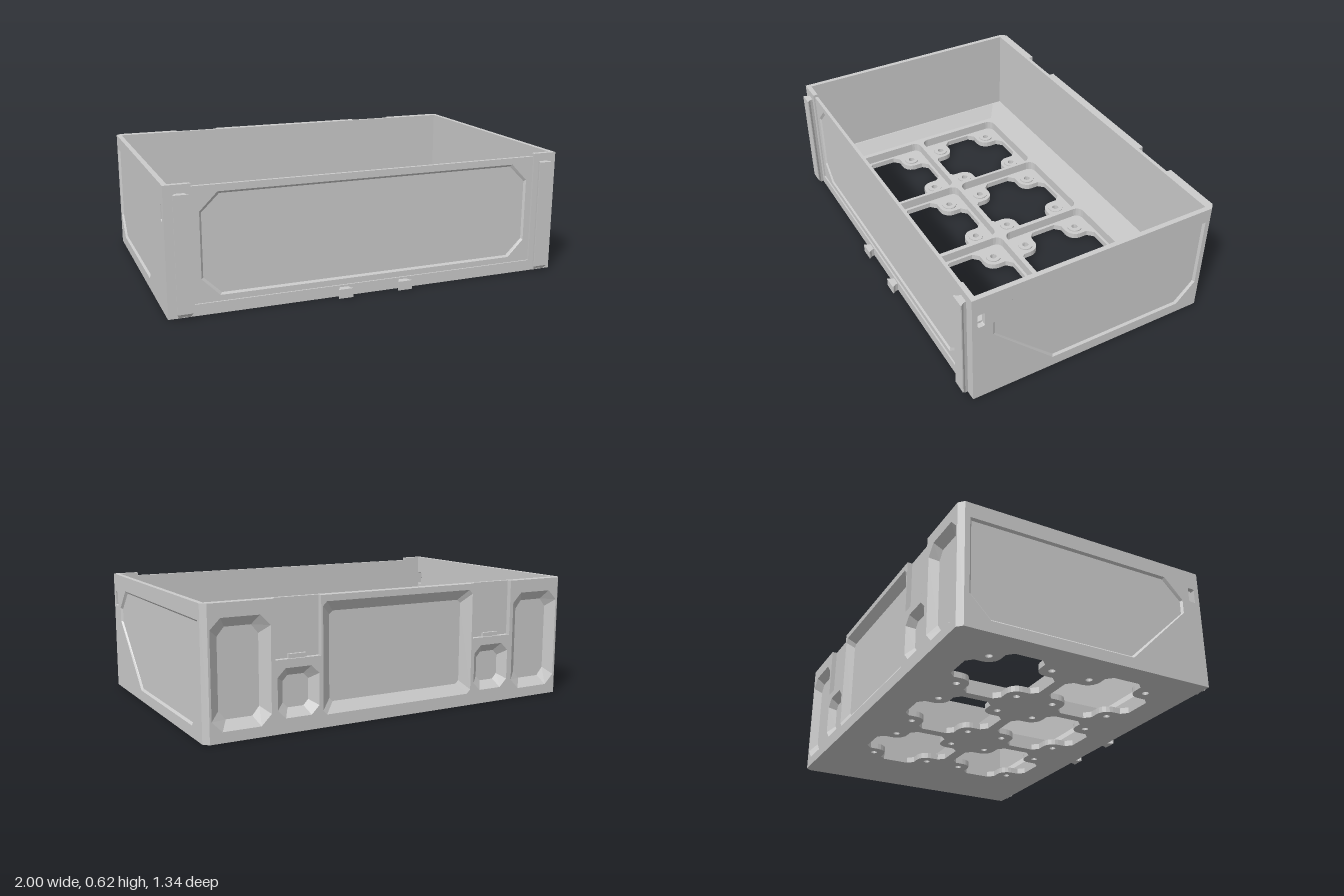
import * as THREE from 'three';
import { mergeGeometries } from 'three/addons/utils/BufferGeometryUtils.js';

const material = new THREE.MeshStandardMaterial({ color: 0xcccccc, flatShading: true, side: THREE.DoubleSide });
const H = 0.615;

const toPoints = (list) => {
  const p = list.map(([x, y]) => new THREE.Vector2(x, y));
  return THREE.ShapeUtils.isClockWise(p) ? p.reverse() : p;
};
const rect = (x0, y0, x1, y1) => [[x0, y0], [x1, y0], [x1, y1], [x0, y1]];
// Rectangle with cut corners
const cutRect = (x0, y0, x1, y1, c) => [
  [x0 + c, y0], [x1 - c, y0], [x1, y0 + c], [x1, y1 - c],
  [x1 - c, y1], [x0 + c, y1], [x0, y1 - c], [x0, y0 + c]];

function shapeOf(outline, holes = []) {
  const s = new THREE.Shape(toPoints(outline));
  s.holes = holes.map((h) => new THREE.Path(toPoints(h).reverse()));
  return s;
}

// Closed band of quads between two rings of [x, y, z] points
function band(a, b) {
  const pos = [];
  a.forEach((p, i) => {
    const j = (i + 1) % a.length;
    pos.push(...p, ...a[j], ...b[j], ...p, ...b[j], ...b[i]);
  });
  const g = new THREE.BufferGeometry();
  g.setAttribute('position', new THREE.Float32BufferAttribute(pos, 3));
  g.computeVertexNormals();
  return g;
}
const atZ = (points, z) => points.map((p) => [p.x, p.y, z]);

// Shrinks a polygon about the middle of its bounds
function inset(points, b) {
  const box = new THREE.Box2().setFromPoints(points);
  const c = box.getCenter(new THREE.Vector2()), s = box.getSize(new THREE.Vector2());
  return points.map((p) => new THREE.Vector2(
    c.x + (p.x - c.x) * (1 - 2 * b / s.x), c.y + (p.y - c.y) * (1 - 2 * b / s.y)));
}

// Solid wall facing +z, with bevelled pockets in its face and slots right through
function wall(outline, t, pockets, slots = []) {
  const edge = toPoints(outline);
  const back = new THREE.ShapeGeometry(shapeOf(outline, slots)).rotateY(Math.PI).scale(-1, 1, 1).translate(0, 0, -t);
  const parts = [
    new THREE.ShapeGeometry(shapeOf(outline, [...pockets.map((p) => p.poly), ...slots])),
    back, band(atZ(edge, -t), atZ(edge, 0))];
  for (const s of slots) parts.push(band(atZ(toPoints(s), 0), atZ(toPoints(s), -t)));
  for (const { poly, bevel, depth } of pockets) {
    const outer = toPoints(poly), inner = inset(outer, bevel);
    parts.push(band(atZ(outer, 0), atZ(inner, -depth)));
    parts.push(new THREE.ShapeGeometry(new THREE.Shape(inner)).translate(0, 0, -depth));
  }
  return mergeGeometries(parts.map((g) => {
    const n = g.index ? g.toNonIndexed() : g;
    n.deleteAttribute('uv');
    return n;
  }));
}

// Horizontal slab from an outline in x and z
function slab(shape, y0, y1) {
  return new THREE.ExtrudeGeometry(shape, { depth: y1 - y0, bevelEnabled: false, curveSegments: 6 })
    .rotateX(Math.PI / 2).translate(0, y1, 0);
}

function roundRect(x0, z0, x1, z1, r) {
  const out = [];
  [[x1 - r, z0 + r, -1], [x1 - r, z1 - r, 0], [x0 + r, z1 - r, 1], [x0 + r, z0 + r, 2]].forEach(([cx, cz, q]) => {
    for (let i = 0; i <= 4; i++) {
      const a = (q + i / 4) * Math.PI / 2;
      out.push([cx + r * Math.cos(a), cz + r * Math.sin(a)]);
    }
  });
  return out;
}

// Cross-shaped opening that leaves a rounded screw tab in each corner
function crossHole(cx, cz) {
  const h = 0.232, quarter = [[h, 0.07], [h - 0.03, 0.1]];
  for (let i = 0; i <= 5; i++) {
    const a = -Math.PI / 2 * (1 + i / 5);
    quarter.push([0.16 + 0.06 * Math.cos(a), 0.16 + 0.06 * Math.sin(a)]);
  }
  quarter.push([0.1, h - 0.03], [0.07, h]);
  const out = [];
  for (let k = 0; k < 4; k++) {
    const c = [1, 0, -1, 0][k], s = [0, 1, 0, -1][k];
    quarter.forEach(([x, z]) => out.push([cx + c * x - s * z, cz + s * x + c * z]));
  }
  return out;
}
const circle = (cx, cz, r) => Array.from({ length: 14 }, (_, i) =>
  [cx + r * Math.cos(i * Math.PI / 7), cz + r * Math.sin(i * Math.PI / 7)]);

export function createModel() {
  const model = new THREE.Group();
  const add = (name, geometry, x = 0, y = 0, z = 0, ry = 0) => {
    const m = new THREE.Mesh(geometry, material);
    m.name = name;
    m.position.set(x, y, z);
    m.rotation.y = ry;
    model.add(m);
    return m;
  };

  // Side walls with a cut-corner pocket and a small slot
  for (const s of [1, -1]) {
    const flip = (list) => list.map(([z, y]) => [-s * z, y]);
    const poly = flip([[0.53, 0.44], [0.43, 0.54], [-0.62, 0.54], [-0.62, 0.16], [-0.52, 0.055], [0.21, 0.055], [0.53, 0.37]]);
    add(s > 0 ? 'leftWall' : 'rightWall',
      wall(flip(rect(-0.645, 0, 0.61, H)), 0.025, [{ poly, bevel: 0.01, depth: 0.01 }],
        [flip(cutRect(0.572, 0.445, 0.608, 0.52, 0.005))]), s, 0, 0, s * Math.PI / 2);
    add('backCornerChamfer', slab(shapeOf([[s * 0.975, -0.67], [s, -0.645], [s * 0.975, -0.645]]), 0, H));
  }

  // Back wall with bevelled recesses and two latch notches
  const recesses = [{ poly: cutRect(-0.42, 0.06, 0.42, 0.585, 0.02), bevel: 0.05, depth: 0.035 }];
  for (const s of [1, -1]) {
    const a = s > 0 ? [0.68, 0.965] : [-0.965, -0.68];
    const b = s > 0 ? [0.44, 0.65] : [-0.65, -0.44];
    recesses.push({ poly: cutRect(a[0], 0.05, a[1], 0.55, 0.05), bevel: 0.045, depth: 0.035 });
    recesses.push({ poly: cutRect(b[0], 0.07, b[1], 0.3, 0.04), bevel: 0.04, depth: 0.035 });
  }
  const backOutline = [[-0.975, 0], [0.975, 0], [0.975, H], [0.66, H], [0.66, 0.34], [0.43, 0.34], [0.43, H],
    [-0.43, H], [-0.43, 0.34], [-0.66, 0.34], [-0.66, H], [-0.975, H]];
  add('backWall', wall(backOutline, 0.045, recesses), 0, 0, -0.67, Math.PI);
  for (const s of [1, -1]) {
    add('latchPlate', new THREE.BoxGeometry(0.23, 0.275, 0.02), s * 0.545, 0.4775, -0.635);
    add('latchCatch', new THREE.BoxGeometry(0.09, 0.02, 0.015), s * 0.545, 0.35, -0.652);
  }

  // Front frame, open at the top, and its panel
  const frame = [[-1, 0], [1, 0], [1, H], [0.875, H], [0.875, 0.055], [-0.875, 0.055], [-0.875, H], [-1, H]];
  add('frontFrame', wall(frame, 0.025, []), 0, 0, 0.635);
  add('frontPanel', wall(rect(-0.875, 0.055, 0.875, 0.6), 0.017,
    [{ poly: cutRect(-0.84, 0.083, 0.84, 0.567, 0.085), bevel: 0.01, depth: 0.008 }]), 0, 0, 0.627);

  // Dovetail rails and feet on the front
  const dovetail = shapeOf([[-0.022, 0.63], [0.022, 0.63], [0.026, 0.65], [0.036, 0.663], [0.036, 0.668],
    [-0.036, 0.668], [-0.036, 0.663], [-0.026, 0.65]]);
  for (const s of [1, -1]) {
    const rail = slab(dovetail, 0.005, 0.575), p = rail.attributes.position;
    for (let i = 0; i < p.count; i++) if (p.getY(i) < 0.1 && p.getZ(i) > 0.655) p.setY(i, 0.028);
    add('dovetailRail', rail, s * 0.927);
    add('dovetailFoot', slab(dovetail, 0, 0.045), s * 0.155);
  }

  // Floor: thin base with cross openings, and a raised grid over it
  const xs = [-0.645, -0.133, 0.385], zs = [-0.265, 0.255];
  const baseHoles = [], cells = [roundRect(0.65, -0.512, 0.89, 0.505, 0.04)];
  for (const x of xs) for (const z of zs) {
    baseHoles.push(crossHole(x, z));
    cells.push(roundRect(x - 0.247, z - 0.247, x + 0.247, z + 0.247, 0.04));
    for (const i of [-0.16, 0.16]) for (const j of [-0.16, 0.16]) {
      baseHoles.push(circle(x + i, z + j, 0.017));
      const ring = [[0.017, 0], [0.04, 0], [0.04, 0.006], [0.017, 0.006], [0.017, 0]].map(([r, y]) => new THREE.Vector2(r, y));
      add('screwBoss', new THREE.LatheGeometry(ring, 14), x + i, 0.03, z + j);
    }
  }
  add('floorBase', slab(shapeOf(rect(-0.975, -0.625, 0.975, 0.61), baseHoles), 0, 0.03));
  add('floorGrid', slab(shapeOf(rect(-0.92, -0.53, 0.92, 0.525), cells), 0.03, 0.08));
  for (const x of [0.668, 0.872]) add('trayClip', new THREE.BoxGeometry(0.036, 0.05, 0.05), x, 0.055, -0.003);

  // Sloping skirt from the walls down to the floor
  const ring = (x, z0, z1, y) => rect(-x, z0, x, z1).map(([a, b]) => [a, y, b]);
  add('floorSkirt', mergeGeometries([
    band(ring(0.975, -0.625, 0.61, 0.15), ring(0.967, -0.57, 0.56, 0.15)),
    band(ring(0.967, -0.57, 0.56, 0.15), ring(0.92, -0.53, 0.525, 0.08))]));

  return model;
}
